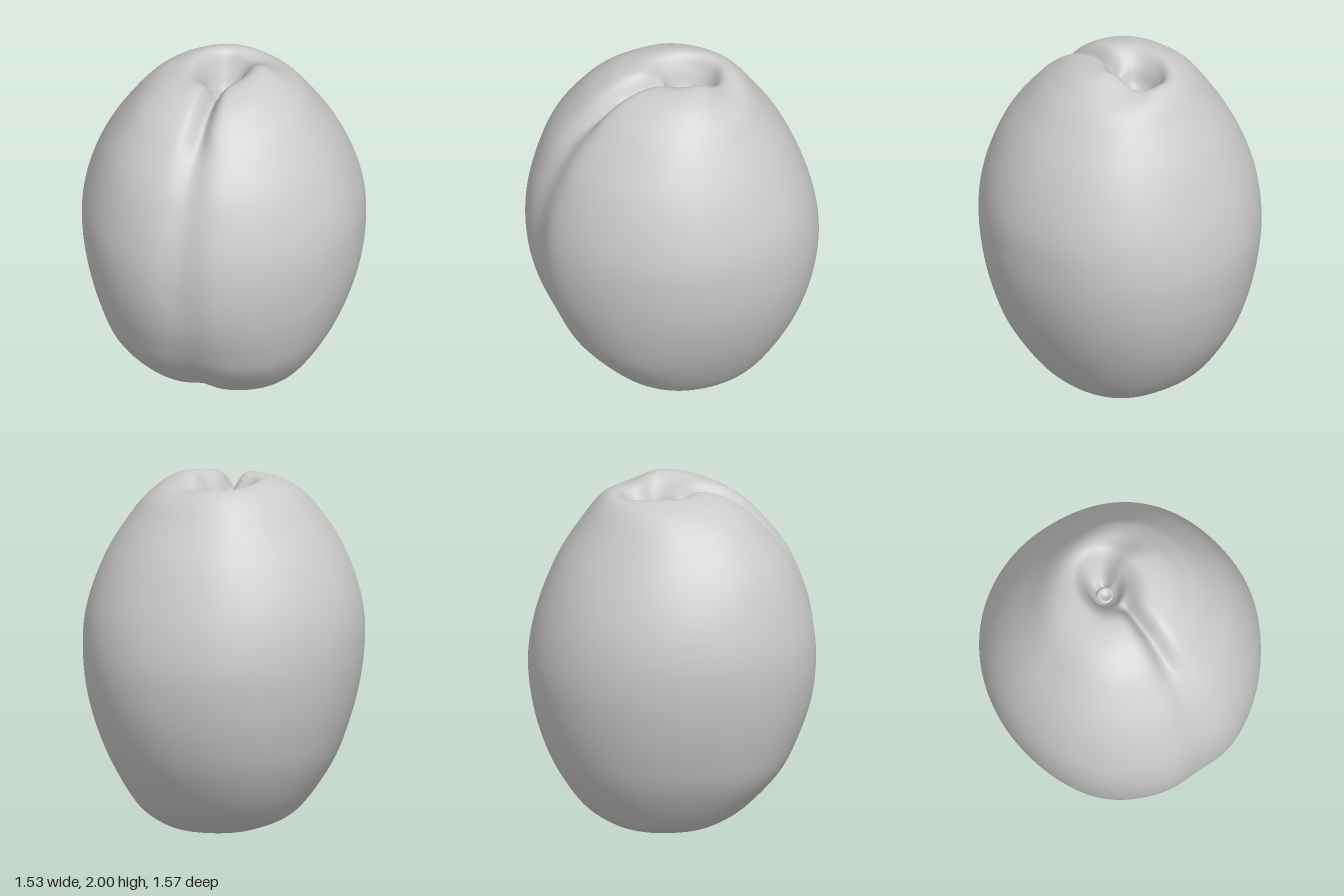
import * as THREE from 'three';

// Levels from the bottom tip, over the rim, down into the stem hollow.
// Each: left x, right x, front z, back z, then the height of each of those four points.
const BODY = [
  [0.0, 0, 0, -0.02, -0.02], [0.012, -0.07, 0.09, 0.05, -0.11],
  [0.036, -0.2, 0.25, 0.17, -0.27], [0.1, -0.36, 0.38, 0.29, -0.4],
  [0.2, -0.47, 0.48, 0.43, -0.52],
  [0.4, -0.6, 0.6, 0.61, -0.65], [0.6, -0.68, 0.685, 0.712, -0.73],
  [0.8, -0.735, 0.74, 0.78, -0.775], [1.0, -0.765, 0.763, 0.806, -0.788],
  [1.2, -0.765, 0.757, 0.792, -0.758], [1.4, -0.72, 0.705, 0.738, -0.695],
  [1.6, -0.63, 0.615, 0.643, -0.605], [1.8, -0.495, 0.48, 0.485, -0.475],
  [1.9, -0.4, 0.385, 0.37, -0.4],
].map(([y, l, r, f, b]) => [l, r, f, b, y, y, y, y]);
const HOLLOW = [
  [-0.31, 0.28, 0.27, -0.335, 1.95, 1.975, 1.955, 1.945],
  [-0.21, 0.16, 0.14, -0.28, 1.965, 2.0, 1.975, 1.93],
  [-0.15, 0.08, 0.04, -0.23, 1.89, 1.92, 1.91, 1.84],
  [-0.11, 0.02, -0.01, -0.17, 1.79, 1.8, 1.8, 1.75],
  [-0.04, -0.04, -0.08, -0.08, 1.74, 1.74, 1.74, 1.74],
];
const LEVELS = [...BODY, ...HOLLOW];

// One smooth profile for each of the four directions
const PROFILES = [0, 1, 2, 3].map(
  (k) => new THREE.SplineCurve(LEVELS.map((p) => new THREE.Vector2(p[k], p[k + 4]))));

// Extra fullness of the quarters: front left, front right, back right, back left
const FULL_BOTTOM = [0.05, 0.08, 0.01, 0.03];
const FULL_MIDDLE = [-0.02, 0.018, 0.002, 0.036];
const FULL_SHOULDER = [-0.02, 0.09, -0.03, 0.02];
// Dip of the rim in the back left quarter
const RIM_DIP = [0, 0, 0, 0.035];

// Seam depth and width by height: [y, depth, width]
const SEAM = [[0, 0, 0.06], [0.12, 0.02, 0.08], [0.3, 0.02, 0.11], [0.6, 0.018, 0.13],
  [1.0, 0.034, 0.14], [1.4, 0.034, 0.12], [1.7, 0.038, 0.085], [1.9, 0.08, 0.055], [2.0, 0.11, 0.045]];

const { smoothstep, lerp } = THREE.MathUtils;

function seamAt(y) {
  let i = 0;
  while (i < SEAM.length - 2 && y > SEAM[i + 1][0]) i++;
  const [a, b] = [SEAM[i], SEAM[i + 1]];
  const k = smoothstep(y, a[0], b[0]);
  return [lerp(a[1], b[1], k), lerp(a[2], b[2], k)];
}

function fruitPoint(t, angle) {
  const [l, r, f, b] = PROFILES.map((c) => c.getPoint(t));
  const c = Math.cos(angle), s = Math.sin(angle);
  const q = s > 0 ? (c > 0 ? 0 : 1) : (c > 0 ? 3 : 2);
  const diagonal = Math.sin(2 * angle) ** 2;
  const lower = lerp(FULL_BOTTOM[q], FULL_MIDDLE[q], smoothstep(t, 0.2, 0.42));
  const full = 1 + diagonal * lerp(lower, FULL_SHOULDER[q], smoothstep(t, 0.52, 0.7));
  const p = new THREE.Vector3(
    (l.x + r.x) / 2 + full * c * (r.x - l.x) / 2,
    c * c * (c > 0 ? r.y : l.y) + s * s * (s > 0 ? f.y : b.y)
      - diagonal * RIM_DIP[q] * smoothstep(t, 0.68, 0.8),
    (f.x + b.x) / 2 + full * s * (f.x - b.x) / 2);

  // Press the front seam inwards
  const [depth, width] = seamAt(p.y);
  const inHollow = smoothstep(t, 0.87, 0.98);
  const d = depth * Math.exp(-(((p.x + 0.02) / width) ** 2))
    * smoothstep(p.z, -0.04, 0.1) * (1 - inHollow);
  const inward = new THREE.Vector3(0, 1, 0).sub(p).normalize();
  return p.addScaledVector(inward, d);
}

function fruitGeometry(rows, cols) {
  const positions = [], index = [];
  for (let i = 0; i <= rows; i++) {
    for (let j = 0; j < cols; j++) {
      const u = (j / cols) * Math.PI * 2;
      // Columns are gathered closer around the seam
      const angle = u + 0.5 * Math.cos(u);
      // At the tip and the floor of the hollow all columns meet in one point
      const onAxis = i === 0 || i === rows;
      positions.push(...fruitPoint(i / rows, onAxis ? 0 : angle).toArray());
    }
  }
  for (let i = 0; i < rows; i++) {
    for (let j = 0; j < cols; j++) {
      const a = i * cols + j, b = i * cols + (j + 1) % cols;
      index.push(a, a + cols, b, b, a + cols, b + cols);
    }
  }
  const g = new THREE.BufferGeometry();
  g.setAttribute('position', new THREE.Float32BufferAttribute(positions, 3));
  g.setIndex(index);
  g.computeVertexNormals();
  return g;
}

export function createModel() {
  const group = new THREE.Group();
  const material = new THREE.MeshStandardMaterial({ color: 0xcccccc });

  const fruit = new THREE.Mesh(fruitGeometry(144, 200), material);
  fruit.name = 'fruitBody';
  group.add(fruit);

  // Small raised ring left by the stem, at the bottom of the hollow
  const scar = new THREE.Mesh(new THREE.LatheGeometry(
    new THREE.SplineCurve([[0.06, 0], [0.052, 0.03], [0.035, 0.04], [0.02, 0.03], [0, 0.02]]
      .map(([x, y]) => new THREE.Vector2(x, y))).getPoints(16), 24), material);
  scar.name = 'stemScar';
  scar.position.set(-0.04, 1.735, -0.08);
  group.add(scar);

  return group;
}
